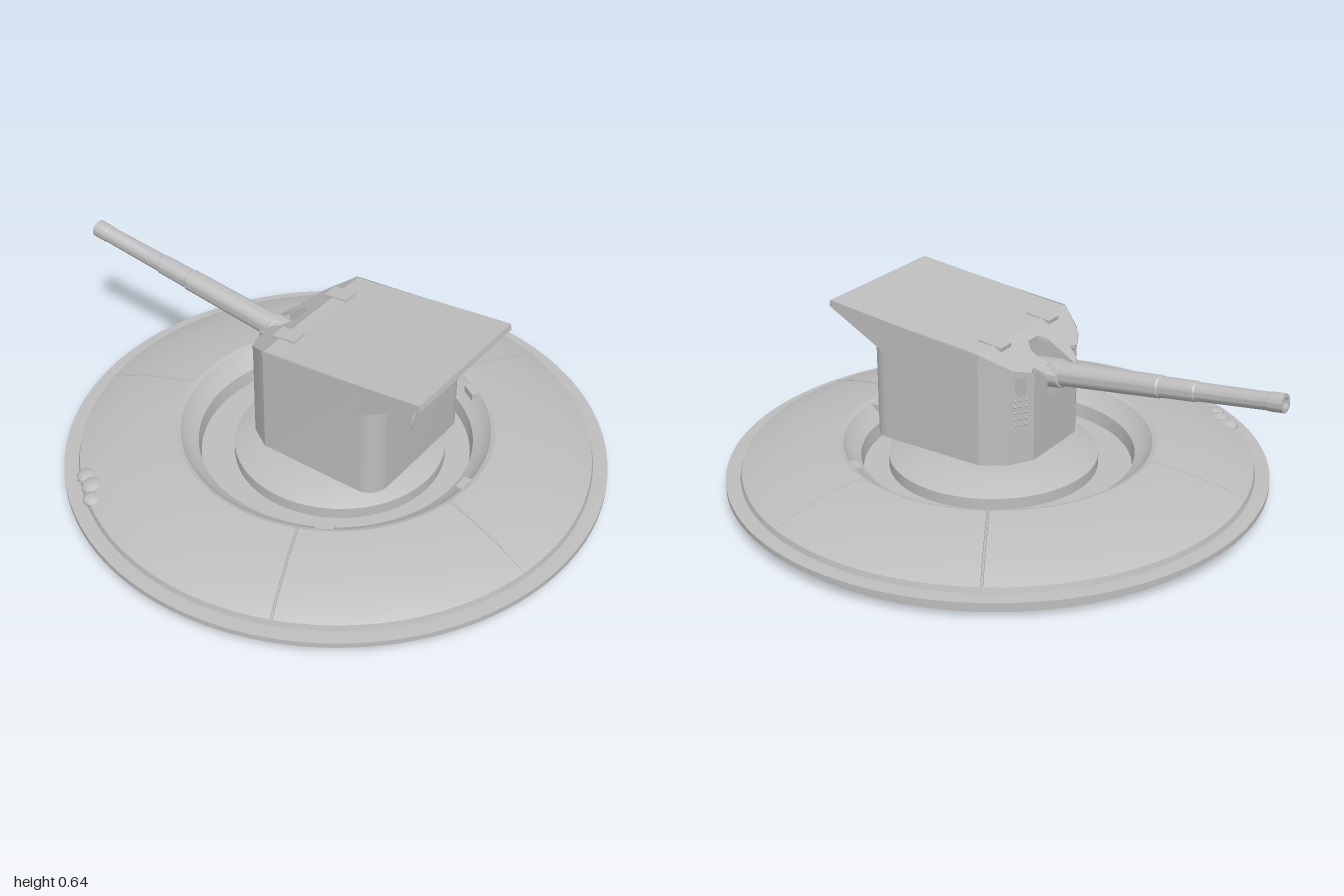
import * as THREE from 'three';
import { toCreasedNormals, mergeGeometries } from 'three/addons/utils/BufferGeometryUtils.js';

const steel = new THREE.MeshStandardMaterial({ color: 0xbdbdbd, side: THREE.DoubleSide });
steel.name = 'pale grey steel';

function add(parent, name, geometry, x = 0, y = 0, z = 0) {
  const mesh = new THREE.Mesh(geometry, steel);
  mesh.name = name;
  mesh.position.set(x, y, z);
  parent.add(mesh);
  return mesh;
}

const vec = ([x, y]) => new THREE.Vector2(x, y);
const lathe = (pts, n = 96) => toCreasedNormals(new THREE.LatheGeometry(pts.map(vec), n), 0.4);
const poly = pts => new THREE.Shape(pts.map(vec));

// Curved armour skirt, from its outer edge to the lip of the well
const skirt = [[0.89, 0.066], [0.885, 0.085], [0.85, 0.1], [0.77, 0.125], [0.67, 0.146],
  [0.58, 0.16], [0.55, 0.163]];

function buildBase() {
  const base = new THREE.Group();
  base.name = 'base';
  base.position.x = 0.063;
  add(base, 'armourRing', lathe([[0, 0], [0.888, 0], [0.888, 0.045], [0.94, 0.045], [0.94, 0.064],
    [0.91, 0.066], ...skirt, [0.535, 0.158], [0.52, 0.14], [0.5, 0.125], [0.475, 0.11],
    [0.467, 0.06], [0, 0.06]], 128));
  add(base, 'pedestal', lathe([[0.365, 0.06], [0.365, 0.1], [0.27, 0.14], [0.17, 0.145],
    [0.17, 0.186], [0, 0.186]]), 0.018);

  // Raised seams between the skirt plates
  for (const degrees of [-121, -70, 11.5, 67, 168]) {
    const path = new THREE.CatmullRomCurve3(skirt.slice(1).map(([r, y]) => new THREE.Vector3(r, y, 0)));
    const seam = add(base, 'skirtSeam', new THREE.TubeGeometry(path, 16, 0.0045, 6));
    seam.rotation.y = -degrees * Math.PI / 180;
  }
  // Small cleats on the inner lip
  for (const degrees of [-58, 0, 58]) {
    const a = degrees * Math.PI / 180;
    const cleat = add(base, 'lipCleat', new THREE.BoxGeometry(0.035, 0.035, 0.06),
      0.525 * Math.cos(a), 0.139, 0.525 * Math.sin(a));
    cleat.rotation.y = -a;
  }
  // Battered patch on the outer edge
  for (const [x, z, s] of [[-0.56, 0.655, 0.04], [-0.51, 0.68, 0.045], [-0.47, 0.73, 0.035]]) {
    add(base, 'batteredEdge', new THREE.IcosahedronGeometry(s, 1), x, 0.085, z).scale.y = 0.55;
  }
  return base;
}

const FLOOR = 0.185;
// Heights of the roof surfaces along x
const frontRoof = x => 0.577 + 0.63 * (x + 0.05);
const mainRoof = x => 0.582 + 0.107 * (x - 0.02);
const underside = x => 0.5 + 0.522 * (x - 0.34);

// Upright panel from plan point a to b, with its own top heights and optional holes
function panel(a, b, topA, topB, holes = []) {
  const dx = b[0] - a[0], dz = b[1] - a[1], length = Math.hypot(dx, dz);
  const shape = poly([[0, FLOOR], [length, FLOOR], [length, topB], [0, topA]]);
  for (const hole of holes) shape.holes.push(new THREE.Path(hole(length / 2).map(vec)));
  const geometry = new THREE.ShapeGeometry(shape);
  geometry.rotateY(Math.atan2(-dz, dx));
  return geometry.translate(a[0], 0, a[1]);
}

// Opening outline with one rounded end (up = 1 arch, up = -1 U shape)
const arch = (half, flatY, roundY, up) => mid => {
  const pts = [[mid - half, flatY], [mid + half, flatY]];
  for (let i = 0; i <= 10; i++) {
    const t = i / 10 * Math.PI;
    pts.push([mid + half * Math.cos(t), roundY + up * half * Math.sin(t)]);
  }
  return pts;
};
const sightHole = mid => [[mid - 0.02, 0.43], [mid + 0.02, 0.43], [mid + 0.02, 0.49], [mid - 0.02, 0.49]];

function buildHouse() {
  const house = new THREE.Group();
  house.name = 'gunHouse';

  // Half plan from the front face round to the rear face
  const plan = [[-0.17, 0.13], [-0.12, 0.215], [-0.04, 0.265]];
  for (let i = 0; i <= 8; i++) {
    const t = i / 8 * Math.PI / 2;
    plan.push([0.34 + 0.07 * Math.sin(t), 0.195 + 0.07 * Math.cos(t)]);
  }
  const mirror = ([x, z]) => [x, -z];
  const walls = [];
  for (let i = 0; i < plan.length - 1; i++) {
    const a = plan[i], b = plan[i + 1];
    const tops = i < 2 ? [frontRoof(a[0]), frontRoof(b[0])]
      : i === 2 ? [frontRoof(a[0]), mainRoof(b[0])] : [underside(a[0]), underside(b[0])];
    const holes = i === 0 ? [sightHole] : [];
    walls.push(panel(a, b, ...tops, holes), panel(mirror(b), mirror(a), tops[1], tops[0], holes));
  }
  const front = plan[0], rear = plan[plan.length - 1];
  walls.push(panel(mirror(front), front, 0.5, 0.5, [arch(0.05, 0.497, 0.42, -1)]));
  walls.push(panel(rear, mirror(rear), 0.537, 0.537, [arch(0.063, 0.42, 0.472, 1)]));
  add(house, 'walls', toCreasedNormals(mergeGeometries(walls), 0.5));

  const floor = new THREE.ShapeGeometry(poly([...plan, ...plan.map(mirror).reverse()]));
  add(house, 'floor', floor.rotateX(Math.PI / 2), 0, FLOOR, 0);

  // Main roof plate and the two wedges under its overhang
  const slab = (pts, z0, z1) => new THREE.ExtrudeGeometry(poly(pts),
    { depth: z1 - z0, bevelEnabled: false }).translate(0, 0, z0);
  const tip = [[0.57, 0.62], [0.565, 0.641]];
  add(house, 'roof', slab([[-0.045, 0.565], [0.34, 0.602], [0.5, 0.6], ...tip,
    [0.02, 0.584], [-0.045, 0.579]], -0.267, 0.267));
  for (const [z0, z1] of [[-0.267, -0.063], [0.063, 0.267]]) {
    add(house, 'overhang', slab([[0.34, 0.5], ...tip, [0.34, 0.61]], z0, z1));
  }
  add(house, 'overhangCentre', slab([[0.41, 0.537], ...tip, [0.41, 0.61]], -0.063, 0.063));

  // Sloping front roof with a notch for the gun
  const edge = [[-0.04, 0.267], [-0.115, 0.215], [-0.135, 0.2], [-0.165, 0.14], [-0.155, 0.11],
    [-0.195, 0.09], [-0.212, 0.06], [-0.15, 0.056], [-0.105, 0.053], [-0.08, 0.03]];
  const brow = new THREE.ExtrudeGeometry(poly([...edge, ...edge.map(mirror).reverse()]),
    { depth: 0.012, bevelEnabled: false }).rotateX(Math.PI / 2);
  const p = brow.attributes.position;
  for (let i = 0; i < p.count; i++) p.setY(i, p.getY(i) + frontRoof(p.getX(i)));
  brow.computeVertexNormals();
  add(house, 'frontRoof', brow);

  for (const side of [-1, 1]) {
    // Sight hatches on the roof
    add(house, 'roofHatch', new THREE.BoxGeometry(0.09, 0.014, 0.06), -0.025, 0.578, side * 0.145)
      .rotation.z = 0.12;
    // Rows of bolts under the sight holes
    for (let row = 0; row < 5; row++) for (let col = 0; col < 3; col++) {
      const t = 0.3 + col * 0.2;
      add(house, 'bolt', new THREE.SphereGeometry(0.005, 6, 4),
        -0.17 + 0.05 * t, 0.325 + row * 0.022, side * (0.13 + 0.085 * t));
    }
  }
  // Round plate below the rear opening
  add(house, 'rearPlate', new THREE.CylinderGeometry(0.063, 0.063, 0.006, 32).rotateZ(Math.PI / 2),
    0.411, 0.39, 0).scale.y = 0.9;
  house.getObjectByName('rearPlate').position.y = 0.362;
  return house;
}

// Stepped, hollow barrel: radius against distance from the muzzle
function buildBarrel() {
  const pts = [[0, 0.06], [0.018, 0.06], [0.018, 0], [0.031, 0], [0.031, 0.05], [0.029, 0.055],
    [0.031, 0.3], [0.034, 0.305], [0.035, 0.43], [0.038, 0.435], [0.041, 0.8], [0.049, 0.805],
    [0.049, 0.9], [0.036, 0.92], [0, 0.92]];
  const geometry = lathe(pts, 32);
  const barrel = new THREE.Mesh(geometry, steel);
  barrel.name = 'barrel';
  barrel.position.set(-0.997, 0.555, 0);
  barrel.rotation.z = -Math.PI / 2 - 0.12;
  return barrel;
}

export function createModel() {
  const model = new THREE.Group();
  model.name = 'gunTurret';
  model.add(buildBase(), buildHouse(), buildBarrel());
  return model;
}
